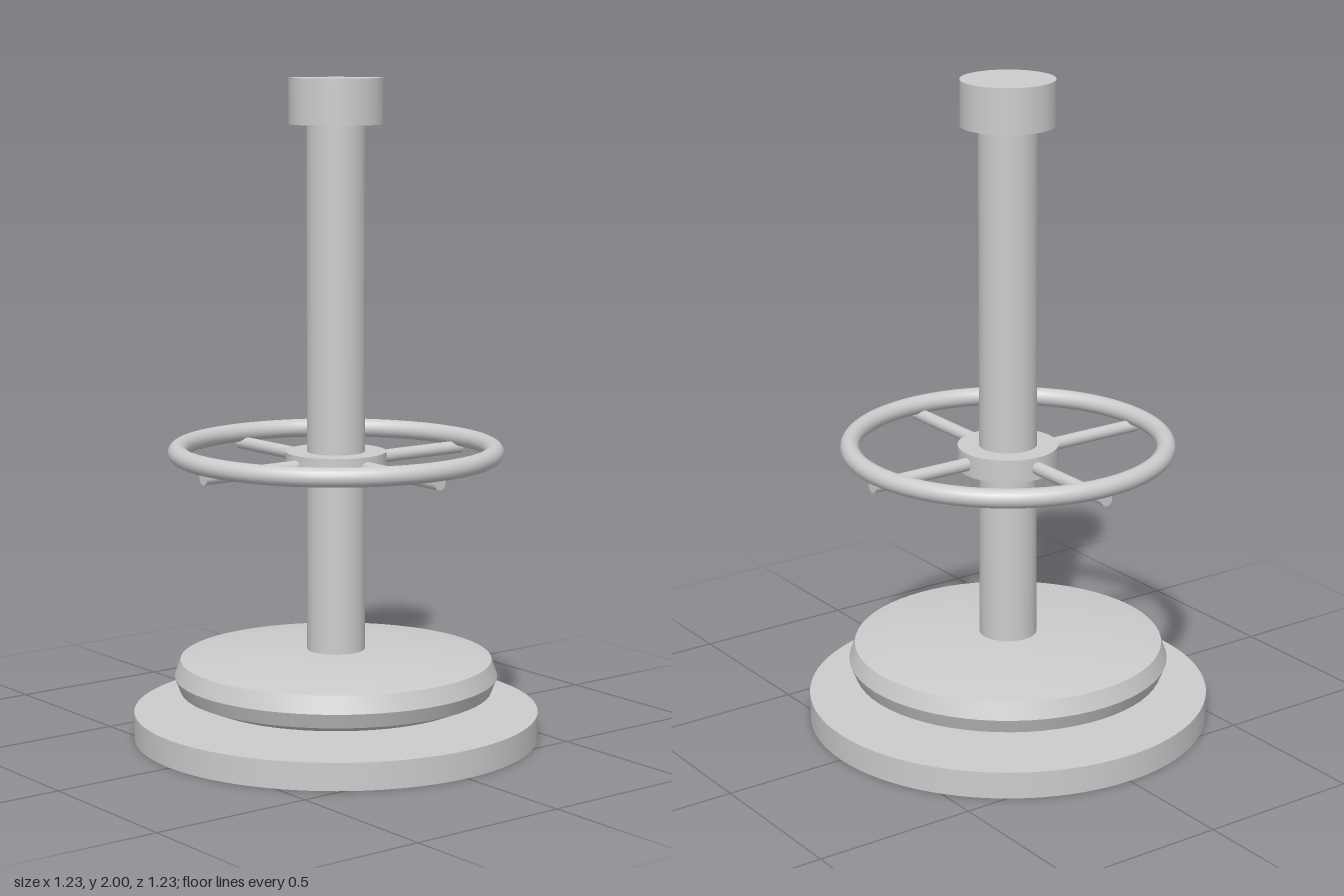
import * as THREE from 'three';
import { toCreasedNormals } from 'three/addons/utils/BufferGeometryUtils.js';

export function createModel() {
  const model = new THREE.Group();
  const metal = new THREE.MeshStandardMaterial({ color: 0xcccccc });
  metal.name = 'light grey';

  const add = (name, geometry, y = 0) => {
    const mesh = new THREE.Mesh(geometry, metal);
    mesh.name = name;
    mesh.position.y = y;
    model.add(mesh);
    return mesh;
  };
  // Upright cylinder between two heights
  const disc = (name, radius, y0, y1, sides = 64) =>
    add(name, new THREE.CylinderGeometry(radius, radius, y1 - y0, sides), (y0 + y1) / 2);

  disc('basePlate', 0.617, 0, 0.083, 96);
  disc('baseSpacer', 0.24, 0.083, 0.11);

  // Padded disc with bevelled rim
  const profile = [
    [0, 0.1], [0.24, 0.102], [0.42, 0.122], [0.475, 0.145],
    [0.493, 0.19], [0.475, 0.242], [0.28, 0.27], [0, 0.27],
  ].map(([r, y]) => new THREE.Vector2(r, y));
  add('cushion', toCreasedNormals(new THREE.LatheGeometry(profile, 64), 0.3));

  // Column and end cap
  disc('column', 0.088, 0.26, 1.87);
  disc('endCap', 0.141, 1.863, 2);

  // Foot ring carried on four spokes by a collar
  disc('collar', 0.153, 0.81, 0.88);
  const ring = add('footRing', new THREE.TorusGeometry(0.479, 0.029, 20, 96), 0.88);
  ring.rotation.x = Math.PI / 2;
  for (let i = 0; i < 4; i++) {
    const geometry = new THREE.CylinderGeometry(0.02, 0.02, 0.39, 20);
    geometry.rotateZ(Math.PI / 2).translate(0.295, 0, 0);
    add('spoke', geometry, 0.846).rotation.y = i * Math.PI / 2;
  }

  return model;
}
